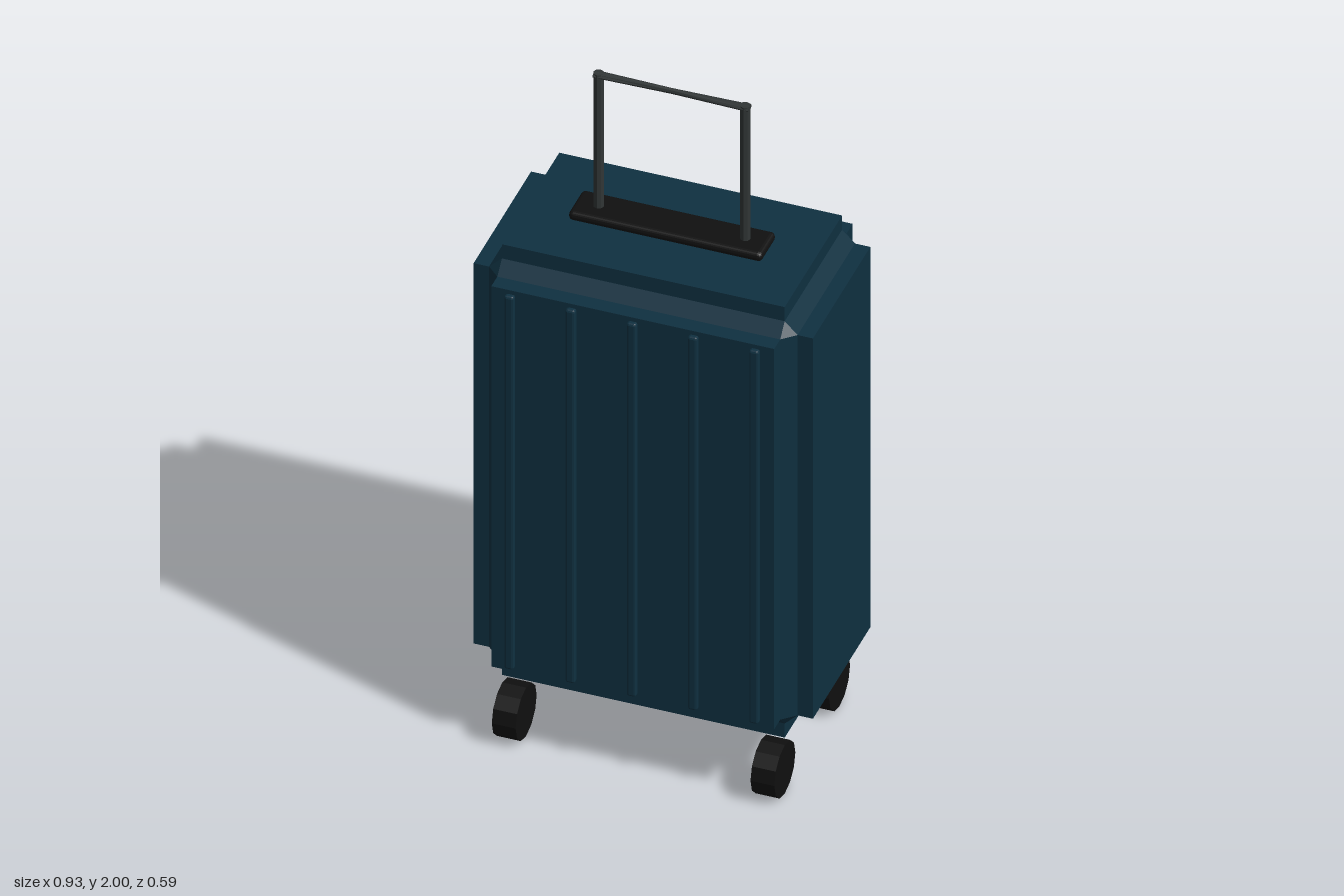
import * as THREE from 'three';
import { ConvexGeometry } from 'three/addons/geometries/ConvexGeometry.js';
import { RoundedBoxGeometry } from 'three/addons/geometries/RoundedBoxGeometry.js';

const paint = (name, color, flatShading = false) => {
  const m = new THREE.MeshStandardMaterial({ color, flatShading });
  m.name = name;
  return m;
};

export function createModel() {
  const model = new THREE.Group();
  model.name = 'suitcase';
  const shell = paint('deep teal shell', 0x0f3040, true);
  const black = paint('black rubber', 0x101010, true);
  const metal = paint('dark grey metal', 0x303535, true);

  const add = (name, geometry, material, x, y, z) => {
    const mesh = new THREE.Mesh(geometry, material);
    mesh.name = name;
    mesh.position.set(x, y, z);
    model.add(mesh);
    return mesh;
  };

  // Chamfered core: each corner is cut back to the three raised panels
  const cy = 0.865, cz = -0.008;
  const inner = [0.386, 0.605, 0.21];
  const outer = [0.421, 0.64, 0.243];
  const corners = [];
  for (const sx of [-1, 1]) for (const sy of [-1, 1]) for (const sz of [-1, 1])
    for (let axis = 0; axis < 3; axis++) {
      const p = inner.map((v, i) => (i === axis ? outer[i] : v));
      corners.push(new THREE.Vector3(p[0] * sx, p[1] * sy, p[2] * sz));
    }
  add('core', new ConvexGeometry(corners), shell, 0, cy, cz);

  // Raised panels on the sides, the ends and the front and back
  add('sidePanels', new THREE.BoxGeometry(0.926, 1.21, 0.42), shell, 0, cy, cz);
  add('endPanels', new THREE.BoxGeometry(0.772, 1.37, 0.42), shell, 0, cy, cz);
  add('frontBackPanels', new THREE.BoxGeometry(0.772, 1.21, 0.574), shell, 0, cy, cz);

  // Vertical ribs on the front
  for (let i = -2; i <= 2; i++)
    add('frontRib', new RoundedBoxGeometry(0.026, 1.185, 0.028, 1, 0.006), shell, i * 0.167, cy, 0.279);

  // Handle: base plate, two posts and a thin grip pinched at the middle
  add('handlePlate', new RoundedBoxGeometry(0.528, 0.027, 0.11, 2, 0.012), black, 0, 1.5625, cz);
  for (const s of [-1, 1])
    add('handlePost', new THREE.CylinderGeometry(0.014, 0.014, 0.44, 8), metal, s * 0.2, 1.779, cz);
  const grip = new THREE.CylinderGeometry(1, 1, 0.424, 8, 2);
  const pos = grip.attributes.position;
  for (let i = 0; i < pos.count; i++) {
    const k = Math.abs(pos.getY(i)) < 0.01 ? 0.5 : 1;
    pos.setX(i, pos.getX(i) * 0.008);
    pos.setZ(i, pos.getZ(i) * 0.014 * k);
  }
  grip.rotateZ(Math.PI / 2);
  grip.computeVertexNormals();
  add('handleGrip', grip, metal, 0, 1.992, cz);

  // Four wheels
  const wheel = new THREE.CylinderGeometry(0.077, 0.077, 0.065, 12).rotateZ(Math.PI / 2);
  for (const sx of [-1, 1]) for (const sz of [-1, 1])
    add('wheel', wheel, black, sx * 0.353, 0.078, cz + 0.008 + sz * 0.2);

  return model;
}
